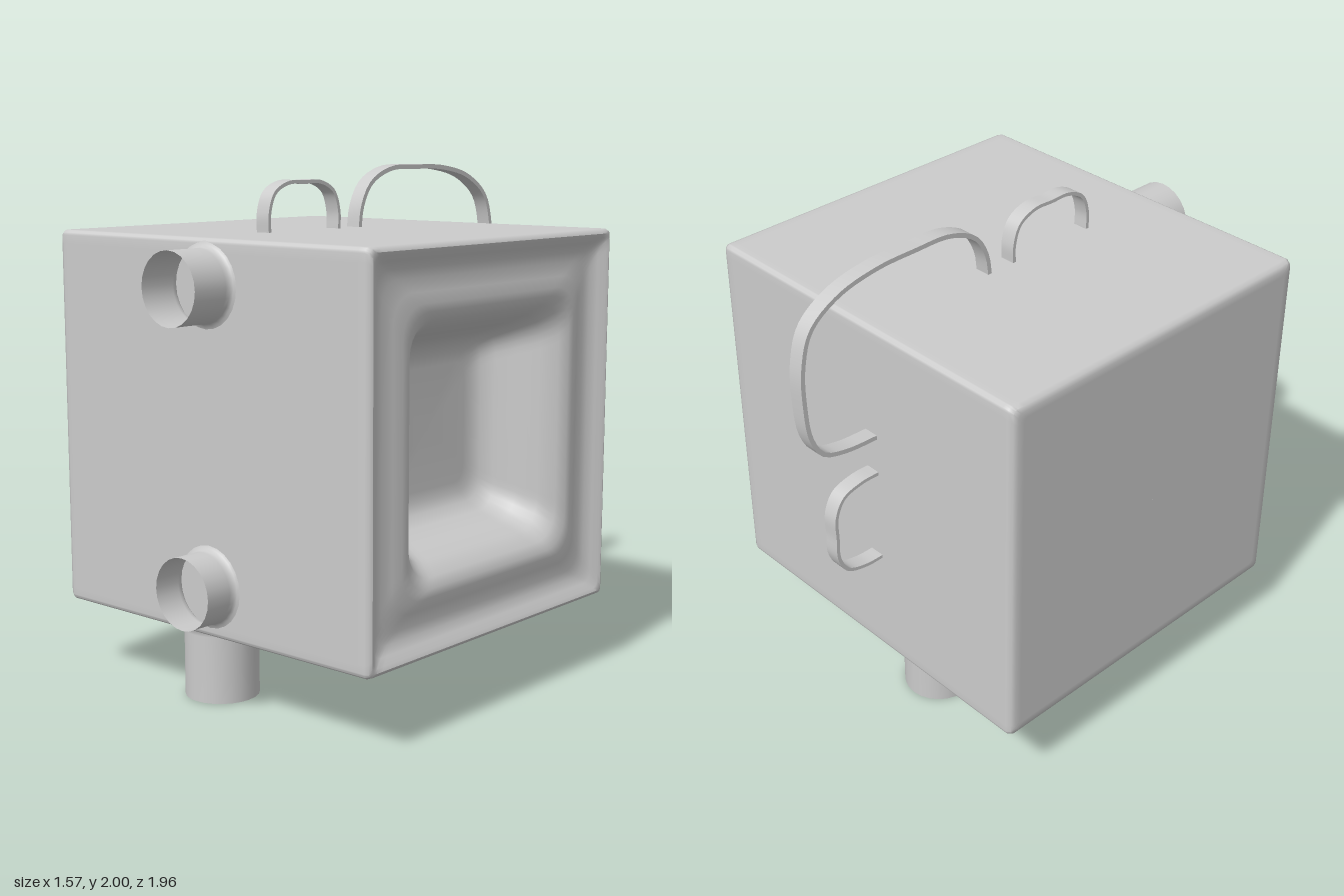
import * as THREE from 'three';
import { toCreasedNormals } from 'three/addons/utils/BufferGeometryUtils.js';

const BODY = { y: 1.025, z: 0.07, halfY: 0.735, halfZ: 0.73 };

const mat = () => new THREE.MeshStandardMaterial({ color: 0xcccccc, side: THREE.DoubleSide });

function addMesh(group, name, geometry) {
  const mesh = new THREE.Mesh(geometry, mat());
  mesh.name = name;
  group.add(mesh);
  return mesh;
}

// Rounded rectangle across the x axis, with extra points beside each corner
function ring(x, inset, radius) {
  const hz = Math.max(BODY.halfZ - inset, 0.001), hy = Math.max(BODY.halfY - inset, 0.001);
  const r = Math.min(radius, hz * 0.8, hy * 0.8);
  const pad = Math.min(0.03, (Math.min(hz, hy) - r) * 0.5);
  const points = [];
  [[1, 1], [-1, 1], [-1, -1], [1, -1]].forEach(([su, sv], q) => {
    const cu = su * (hz - r), cv = sv * (hy - r);
    for (let k = -1; k <= 7; k++) {
      const a = (q + Math.min(Math.max(k, 0), 6) / 6) * Math.PI / 2;
      let u = cu + r * Math.cos(a), v = cv + r * Math.sin(a);
      if (k === -1) { if (q % 2 === 0) v -= sv * pad; else u -= su * pad; }
      if (k === 7) { if (q % 2 === 0) u -= su * pad; else v -= sv * pad; }
      points.push([x, BODY.y + v, BODY.z - u]);
    }
  });
  return points;
}

// Loft from the closed side, along the walls, over the rim and into the recess
function bodyGeometry() {
  const sections = [
    // x, inset, corner radius
    [-0.79, 0.74, 0.02], [-0.79, 0.05, 0.02], [-0.79, 0.025, 0.02], [-0.783, 0.008, 0.02],
    [-0.765, 0, 0.02], [-0.74, 0, 0.02], [0.73, 0, 0.02], [0.76, 0, 0.02],
    [0.776, 0.006, 0.02], [0.782, 0.018, 0.02], [0.776, 0.032, 0.025], [0.755, 0.055, 0.04],
    [0.738, 0.085, 0.06], [0.733, 0.12, 0.08], [0.742, 0.17, 0.1], [0.752, 0.21, 0.11],
    [0.75, 0.24, 0.12], [0.728, 0.275, 0.12], [0.67, 0.315, 0.11], [0.59, 0.35, 0.1],
    [0.51, 0.385, 0.09], [0.465, 0.42, 0.08], [0.448, 0.46, 0.07], [0.445, 0.5, 0.06],
    [0.445, 0.74, 0.02],
  ];
  const rings = sections.map(s => ring(...s));
  const n = rings[0].length, index = [];
  for (let i = 0; i < rings.length - 1; i++) {
    for (let j = 0; j < n; j++) {
      const a = i * n + j, b = i * n + (j + 1) % n;
      index.push(a, b, b + n, a, b + n, a + n);
    }
  }
  const geo = new THREE.BufferGeometry();
  geo.setAttribute('position', new THREE.Float32BufferAttribute(rings.flat(2), 3));
  geo.setIndex(index);
  return toCreasedNormals(geo, 0.8);
}

// Open pipe with a small flare where it meets the body
function pipeGeometry(radius, length) {
  const profile = [[0.025, -0.002], [0.01, 0.004], [0.002, 0.014], [0, 0.03], [0, length]]
    .map(([dr, y]) => new THREE.Vector2(radius + dr, y));
  return new THREE.LatheGeometry(profile, 24);
}

// Flat strap following [z, y] points, extruded across x
function strapGeometry(points, thickness, width) {
  const curve = new THREE.CatmullRomCurve3(points.map(([z, y]) => new THREE.Vector3(-z, y, 0)));
  const outer = [], inner = [], steps = 56;
  for (let i = 0; i <= steps; i++) {
    const p = curve.getPointAt(i / steps), t = curve.getTangentAt(i / steps);
    const dx = -t.y * thickness / 2, dy = t.x * thickness / 2;
    outer.push(new THREE.Vector2(p.x + dx, p.y + dy));
    inner.unshift(new THREE.Vector2(p.x - dx, p.y - dy));
  }
  const geo = new THREE.ExtrudeGeometry(new THREE.Shape([...outer, ...inner]),
    { depth: width, bevelEnabled: false });
  geo.translate(0, 0, -width / 2).rotateY(Math.PI / 2);
  return toCreasedNormals(geo, 0.7);
}

export function createModel() {
  const model = new THREE.Group();
  model.name = 'boxWithPipes';

  addMesh(model, 'body', bodyGeometry());

  // Two legs under the body
  [['frontLeg', 0.61], ['backLeg', -0.415]].forEach(([name, z]) => {
    const leg = addMesh(model, name, pipeGeometry(0.143, 0.29));
    leg.rotation.x = Math.PI;
    leg.position.set(-0.12, 0.29, z);
  });

  // Two pipes on the front
  [['upperPipe', 1.59, 0.18], ['lowerPipe', 0.482, 0.14]].forEach(([name, y, length]) => {
    const pipe = addMesh(model, name, pipeGeometry(0.136, length));
    pipe.rotation.x = Math.PI / 2;
    pipe.position.set(0.012, y, 0.8);
  });

  // Strap handles on the top, the back, and over the back edge
  const straps = {
    topHandle: [0.014, [[0.425, 1.75], [0.425, 1.83], [0.395, 1.905], [0.32, 1.942], [0.23, 1.943],
      [0.14, 1.942], [0.065, 1.905], [0.035, 1.83], [0.035, 1.75]]],
    backHandle: [0.014, [[-0.65, 1.14], [-0.74, 1.138], [-0.825, 1.11], [-0.863, 1.04], [-0.865, 0.945],
      [-0.863, 0.85], [-0.825, 0.78], [-0.74, 0.752], [-0.65, 0.75]]],
    cornerHandle: [0.018, [[-0.09, 1.75], [-0.105, 1.84], [-0.16, 1.93], [-0.28, 1.985], [-0.45, 1.991],
      [-0.63, 1.985], [-0.8, 1.945], [-0.92, 1.86], [-0.963, 1.73], [-0.968, 1.58],
      [-0.95, 1.43], [-0.9, 1.345], [-0.8, 1.312], [-0.65, 1.302]]],
  };
  for (const [name, [thickness, points]] of Object.entries(straps)) {
    addMesh(model, name, strapGeometry(points, thickness, 0.062)).position.x = -0.055;
  }
  return model;
}
